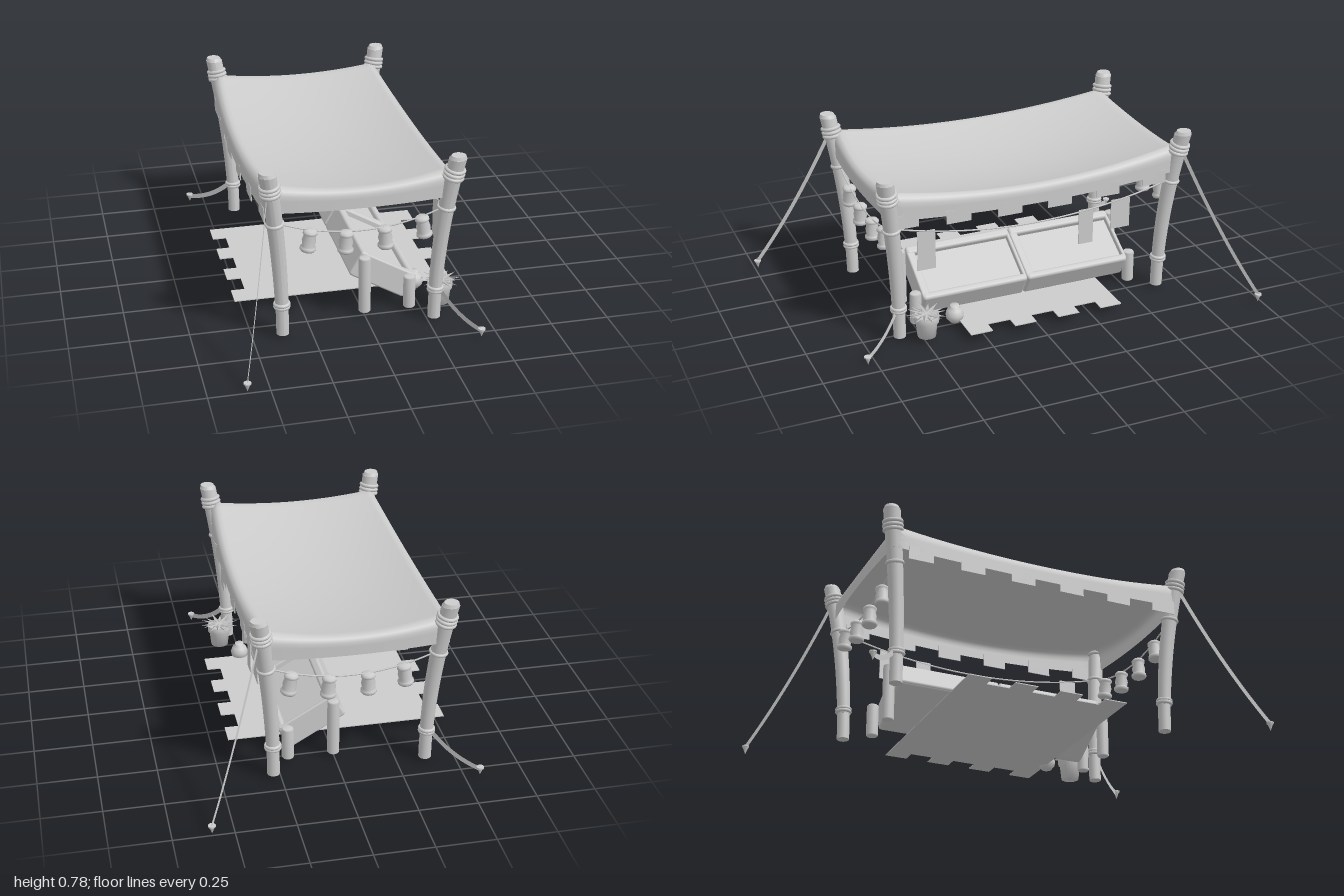
import * as THREE from 'three';
import { RoundedBoxGeometry } from 'three/addons/geometries/RoundedBoxGeometry.js';

const CX = -0.047, CZ = -0.022; // centre of the four posts
const mat = new THREE.MeshStandardMaterial({ color: 0xcccccc });
const thin = new THREE.MeshStandardMaterial({ color: 0xcccccc, side: THREE.DoubleSide });

function add(parent, name, geo, x = 0, y = 0, z = 0, material = mat) {
  const m = new THREE.Mesh(geo, material);
  m.name = name;
  m.position.set(x, y, z);
  parent.add(m);
  return m;
}

// Posts lean outward towards the top
const postX = (s, y) => CX + s * (0.326 + 0.11 * y * y);
const postZ = (s, y) => CZ + s * (0.615 + 0.11 * y * y);

function postGeometry(sx, sz, y0, y1, r0, r1) {
  const g = new THREE.CylinderGeometry(1, 1, 1, 20, 16);
  const p = g.attributes.position;
  for (let i = 0; i < p.count; i++) {
    const t = p.getY(i) + 0.5, y = y0 + (y1 - y0) * t, r = r0 + (r1 - r0) * t;
    p.setXYZ(i, postX(sx, y) + p.getX(i) * r, y, postZ(sz, y) + p.getZ(i) * r);
  }
  g.computeVertexNormals();
  return g;
}

// Flat strap standing in the vertical plane of its curve
function strapGeometry(a, sag, b, width) {
  const curve = new THREE.QuadraticBezierCurve3(a, sag, b);
  const side = new THREE.Vector3(b.x - a.x, 0, b.z - a.z).normalize().cross(new THREE.Vector3(0, 1, 0));
  const pos = [], idx = [], n = 16;
  for (let i = 0; i <= n; i++) {
    const c = curve.getPoint(i / n);
    const d = curve.getTangent(i / n).cross(side).normalize().multiplyScalar(width / 2);
    pos.push(c.x + d.x, c.y + d.y, c.z + d.z, c.x - d.x, c.y - d.y, c.z - d.z);
    if (i < n) idx.push(2 * i, 2 * i + 1, 2 * i + 2, 2 * i + 1, 2 * i + 3, 2 * i + 2);
  }
  const g = new THREE.BufferGeometry();
  g.setAttribute('position', new THREE.Float32BufferAttribute(pos, 3));
  g.setIndex(idx);
  g.computeVertexNormals();
  return g;
}

const clothTop = (u, v) => 0.588 + 0.057 * u * u + 0.077 * v * v - 0.022 * u * u * v * v;

// Sagging cloth: inner square is the top, outer ring folds down as the valance
function canopyGeometry() {
  const g = new THREE.PlaneGeometry(2, 2, 50, 50);
  const p = g.attributes.position;
  for (let i = 0; i < p.count; i++) {
    const a = p.getX(i), b = -p.getY(i), m = Math.max(Math.abs(a), Math.abs(b));
    const k = Math.max(m, 0.8), u = a / k, v = b / k, t = Math.max(0, (m - 0.8) / 0.2);
    const inner = Math.min(Math.abs(u), Math.abs(v));
    const out = 0.025 * Math.sin(Math.min(1, t * 2.5) * Math.PI / 2);
    p.setXYZ(i,
      CX - 0.008 + u * (0.365 + 0.022 * (1 - v * v) + out),
      clothTop(u, v) - (0.082 + 0.03 * inner * inner) * t ** 1.4,
      CZ - 0.004 + v * (0.64 + 0.02 * (1 - u * u) + out));
  }
  g.computeVertexNormals();
  return g;
}

function lanternGeometry() {
  const profile = [[0, -0.095], [0.029, -0.095], [0.034, -0.088], [0.033, -0.078], [0.026, -0.072],
    [0.03, -0.05], [0.024, -0.025], [0.03, -0.019], [0.03, -0.01], [0.022, -0.002], [0, 0]];
  return new THREE.LatheGeometry(profile.map(q => new THREE.Vector2(...q)), 16);
}

function cord(points) {
  return new THREE.TubeGeometry(new THREE.CatmullRomCurve3(points), 32, 0.0035, 6);
}

export function createModel() {
  const model = new THREE.Group();
  model.name = 'marketStall';

  // Four corner posts with bindings, straps and ground pegs
  for (const sx of [-1, 1]) for (const sz of [-1, 1]) {
    const post = new THREE.Group();
    post.name = 'cornerPost';
    model.add(post);
    add(post, 'postFoot', postGeometry(sx, sz, 0.013, 0.14, 0.027, 0.027));
    add(post, 'postShaft', postGeometry(sx, sz, 0.13, 0.762, 0.028, 0.037));
    add(post, 'postCap', postGeometry(sx, sz, 0.76, 0.776, 0.037, 0.03));
    for (const [y, r] of [[0.142, 0.028], [0.154, 0.028], [0.535, 0.032], [0.677, 0.037], [0.694, 0.037], [0.712, 0.037]]) {
      const ring = add(post, 'binding', new THREE.TorusGeometry(r, 0.0085, 8, 24), postX(sx, y), y, postZ(sz, y));
      ring.rotation.set(Math.PI / 2 + sz * 0.22 * y, sx * -0.22 * y, 0);
    }
    const long = sx !== sz, y = long ? 0.665 : 0.14;
    const a = new THREE.Vector3(postX(sx, y) + sx * 0.02, y, postZ(sz, y) + sz * 0.02);
    const b = long ? new THREE.Vector3(sx * 0.59, 0.035, sz * 0.985)
      : new THREE.Vector3(sx > 0 ? 0.43 : -0.567, 0.028, sz > 0 ? 0.785 : -0.803);
    const mid = a.clone().lerp(b, long ? 0.5 : 0.45);
    mid.y -= long ? 0.06 : 0.045;
    add(post, 'guyStrap', strapGeometry(a, mid, b, long ? 0.016 : 0.022), 0, 0, 0, thin);
    add(post, 'groundPeg', new THREE.ConeGeometry(0.013, 0.034, 12).rotateX(Math.PI), b.x, 0.017, b.z);
    add(post, 'pegHead', new THREE.CylinderGeometry(0.016, 0.016, 0.006, 12), b.x, 0.036, b.z);
  }

  // Canopy with toothed hems along both long sides
  add(model, 'canopy', canopyGeometry(), 0, 0, 0, thin);
  for (const s of [-1, 1]) for (let i = 0; i < 6; i++) {
    const z = 0.57 - 0.228 * i, v = (z - CZ) / 0.66, u = 1 - v * v;
    add(model, 'hemTooth', new THREE.BoxGeometry(0.004, 0.06, 0.11),
      CX - 0.008 + s * (0.388 + 0.022 * u), 0.56 + 0.02 * v * v, z);
  }

  // Lantern strings at the front and back
  const yFront = x => 0.467 + 0.073 * ((x - CX) / 0.358) ** 2;
  const lantern = lanternGeometry();
  for (const s of [-1, 1]) {
    const z = postZ(s, 0.54), pts = [];
    for (let i = -4; i <= 4; i++) {
      const x = CX + i * 0.0895;
      pts.push(new THREE.Vector3(x, yFront(x), z));
    }
    add(model, 'lanternString', cord(pts));
    for (const x of [-0.258, -0.11, 0.05, 0.205]) {
      const l = add(model, 'lantern', lantern, x, yFront(x) + 0.003, z);
      l.rotation.z = Math.atan(2 * 0.073 * (x - CX) / 0.358 ** 2) * 0.6;
    }
  }

  // Side string with hanging cloth strips
  const side = [], xSide = postX(1, 0.54);
  for (let i = -4; i <= 4; i++)
    side.push(new THREE.Vector3(xSide, 0.45 + 0.09 * (i / 4) ** 2, CZ + i * 0.162));
  add(model, 'stripString', cord(side));
  for (const [z, w, y0, y1] of [[0.475, 0.08, 0.325, 0.505], [-0.26, 0.068, 0.305, 0.468], [-0.425, 0.09, 0.35, 0.488]])
    add(model, 'hangingStrip', new THREE.BoxGeometry(0.004, y1 - y0, w), xSide, (y0 + y1) / 2, z);

  // Ground mat with toothed ends
  const outline = new THREE.Shape();
  outline.moveTo(-0.47, -0.385);
  for (let i = 0; i < 4; i++) {
    const z = -0.385 + i * 0.2033;
    for (const [x, d] of [[-0.47, 0], [-0.53, 0], [-0.53, 0.1], [-0.47, 0.1]]) outline.lineTo(x, z + d);
  }
  for (let i = 3; i >= 0; i--) {
    const z = -0.385 + i * 0.2033;
    for (const [x, d] of [[0.37, 0.1], [0.43, 0.1], [0.43, 0], [0.37, 0]]) outline.lineTo(x, z + d);
  }
  const matGeo = new THREE.ExtrudeGeometry(outline, { depth: 0.004, bevelEnabled: false });
  add(model, 'groundMat', matGeo.rotateX(Math.PI / 2), 0, 0.038, 0);

  // Sloping display: two trays with raised rims
  const display = new THREE.Group();
  display.name = 'slopingDisplay';
  display.position.set(0, 0.285, 0);
  display.rotation.z = -Math.PI / 6;
  model.add(display);
  for (const [z0, z1] of [[-0.51, -0.022], [-0.022, 0.465]]) {
    const w = z1 - z0, z = (z0 + z1) / 2;
    add(display, 'trayBase', new RoundedBoxGeometry(0.27, 0.095, w - 0.004, 3, 0.015), 0.139, -0.075, z);
    add(display, 'trayUpperRim', new RoundedBoxGeometry(0.04, 0.12, w, 3, 0.012), 0.02, -0.06, z);
    add(display, 'trayLowerRim', new RoundedBoxGeometry(0.035, 0.12, w, 3, 0.014), 0.262, -0.062, z);
    for (const [e, t] of [[z1 - 0.018, 0.036], [z0 + 0.008, 0.016]])
      add(display, 'traySideRim', new RoundedBoxGeometry(0.26, 0.115, t, 2, 0.007), 0.139, -0.061, e);
  }

  // Display legs
  for (const z of [0.49, -0.533]) for (const [x, top] of [[0.002, 0.27], [0.198, 0.16]]) {
    const legProfile = [[0, 0.015], [0.022, 0.015], [0.026, 0.02], [0.026, top - 0.006], [0.021, top], [0, top]];
    add(model, 'displayLeg', new THREE.LatheGeometry(legProfile.map(q => new THREE.Vector2(...q)), 18), x, 0, z);
  }

  // Potted plant with a star of pointed leaves
  const pot = [[0, 0.022], [0.04, 0.022], [0.047, 0.09], [0.054, 0.092], [0.055, 0.122], [0.047, 0.122], [0.045, 0.112], [0, 0.112]];
  add(model, 'plantPot', new THREE.LatheGeometry(pot.map(q => new THREE.Vector2(...q)), 20), 0.333, 0, 0.49);
  for (let i = 0; i < 14; i++) {
    const leaf = new THREE.ConeGeometry(0.016, 0.09, 4).scale(1, 1, 0.25).rotateZ(-Math.PI / 2).rotateX(Math.PI / 2);
    const a = i / 14 * Math.PI * 2;
    const m = add(model, 'plantLeaf', leaf.translate(0.045, 0, 0), 0.333, 0.124, 0.49);
    m.rotation.set(0, a, i % 2 ? 0.12 : 0.03);
  }

  // Small round jar beside the display
  const jar = [[0, 0.018], [0.022, 0.02], [0.037, 0.038], [0.04, 0.058], [0.032, 0.08], [0.018, 0.09], [0.02, 0.1], [0, 0.1]];
  add(model, 'roundJar', new THREE.LatheGeometry(jar.map(q => new THREE.Vector2(...q)), 18), 0.262, 0, 0.335);

  return model;
}
